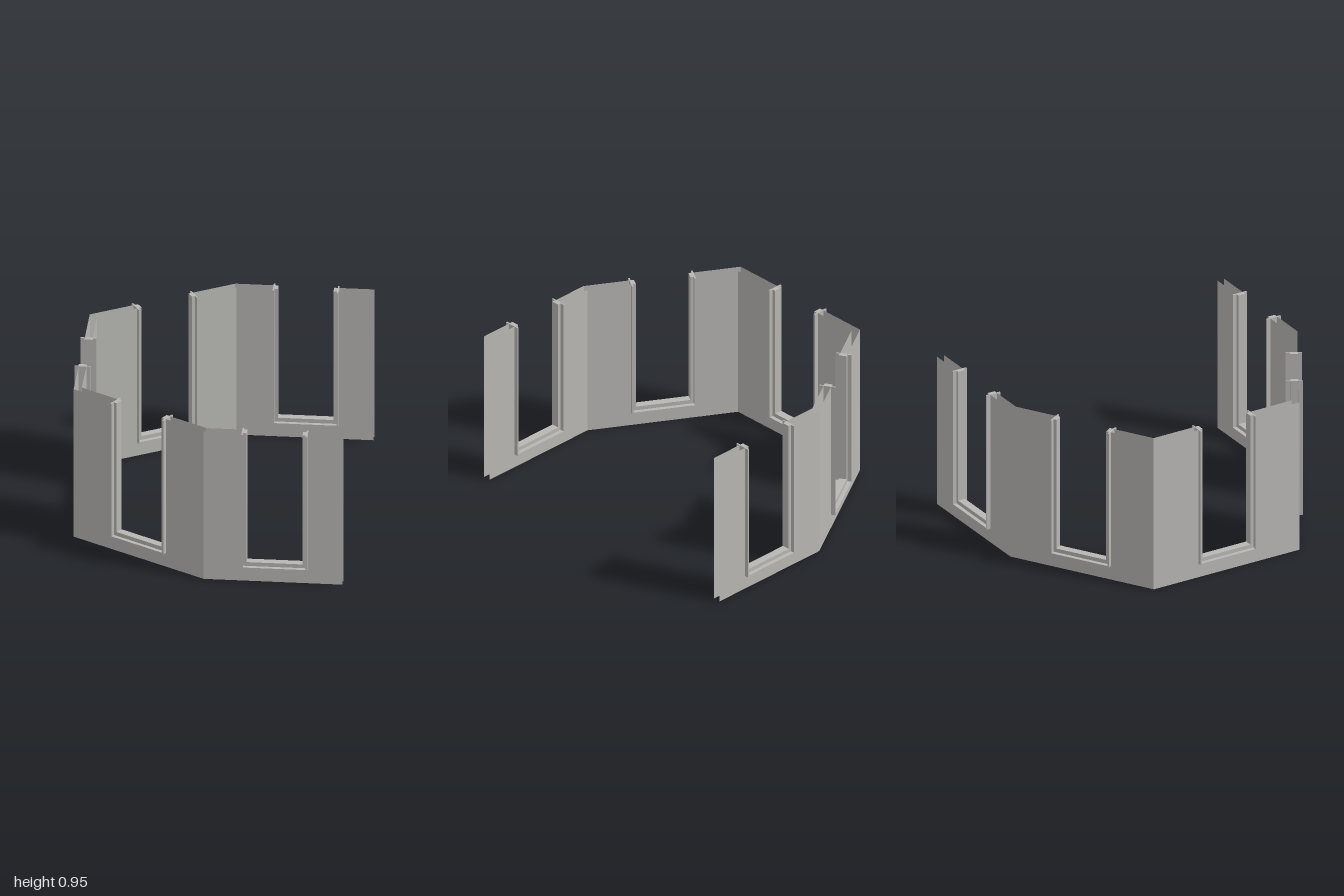
import * as THREE from 'three';

const HEIGHT = 0.95, HALF_GAP = 0.0225; // wall height, half of the wall thickness
const HALF_WIN = 0.191, WIN_Y = 0.087;  // half window width, window bottom

export function createModel() {
  const plaster = new THREE.MeshStandardMaterial({ color: 0xb8b7b4, side: THREE.DoubleSide });
  plaster.name = 'plaster grey';
  const model = new THREE.Group();
  model.name = 'horseshoeWall';

  // plan corners along the middle of the wall, as x and z
  const half = [[0.813, 0.952], [0.01, 0.952], [-0.7725, 0.482]].map(([x, z]) => new THREE.Vector2(x, z));
  const plan = [...half, ...half.slice().reverse().map(p => new THREE.Vector2(p.x, -p.y))];
  const windowCentres = [[0.418, 0.952], [-0.379, 0.717], [-0.7725, 0], [-0.379, -0.717], [0.418, -0.952]];

  // outward normal of each wall segment
  const normals = windowCentres.map((_, i) => {
    const d = plan[i + 1].clone().sub(plan[i]).normalize();
    return new THREE.Vector2(d.y, -d.x);
  });

  // mitred corner shifted outwards by d
  const corner = (i, d) => {
    const a = normals[Math.max(i - 1, 0)], b = normals[Math.min(i, normals.length - 1)];
    return plan[i].clone().addScaledVector(a.clone().add(b), d / (1 + a.dot(b)));
  };

  // U outline: a panel with an opening that runs to the top
  const uShape = (x0, x1, y0, inner, innerY) => new THREE.Shape([
    [x0, y0], [x1, y0], [x1, HEIGHT], [inner, HEIGHT], [inner, innerY],
    [-inner, innerY], [-inner, HEIGHT], [x0, HEIGHT],
  ].map(([x, y]) => new THREE.Vector2(x, y)));

  const add = (parent, name, geometry, z = 0) => {
    const mesh = new THREE.Mesh(geometry, plaster);
    mesh.name = name;
    mesh.position.z = z;
    parent.add(mesh);
  };

  // frame band with its depth centred on the wall
  const band = (outer, y0, inner, y1, depth) =>
    new THREE.ExtrudeGeometry(uShape(-outer, outer, y0, inner, y1), { depth, bevelEnabled: false })
      .translate(0, 0, -depth / 2);

  windowCentres.forEach(([cx, cz], i) => {
    const panel = new THREE.Group();
    panel.name = 'wallPanel' + (i + 1);
    const n = normals[i];
    panel.position.set(cx, 0, cz);
    panel.rotation.y = Math.atan2(n.x, n.y);
    const along = p => (p.x - cx) * n.y - (p.y - cz) * n.x;

    // thin outer and inner wall skins
    for (const [name, d] of [['outerSkin', HALF_GAP], ['innerSkin', -HALF_GAP]]) {
      const right = along(corner(i, d)), left = along(corner(i + 1, d));
      add(panel, name, new THREE.ShapeGeometry(uShape(left, right, 0, HALF_WIN, WIN_Y)), d);
    }

    // deep thin casing with a narrower lip inside it
    add(panel, 'windowCasing', band(HALF_WIN, WIN_Y, HALF_WIN - 0.009, WIN_Y + 0.009, 0.095));
    add(panel, 'windowLip', band(HALF_WIN - 0.009, WIN_Y + 0.009, HALF_WIN - 0.029, 0.12, 0.047));
    model.add(panel);
  });
  return model;
}
